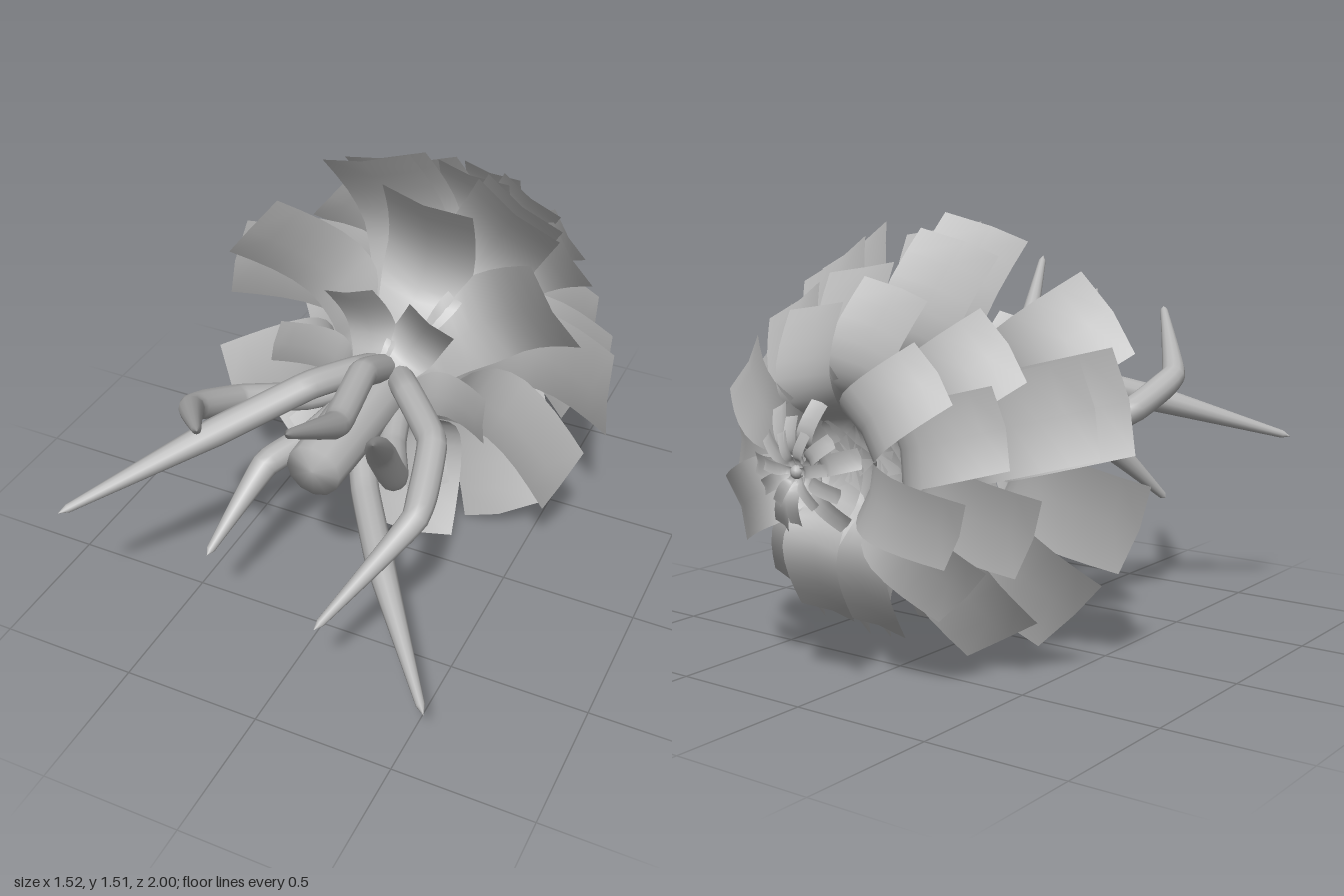
import * as THREE from 'three';

const AXIS_X = 0.007;
const AXIS_Y = 0.745;

// One scale: a lightly creased plate rooted on the axis, bulging back, then bending forward at the tip
function scaleGeometry(length, tipZ, width, bend) {
  const profile = new THREE.CatmullRomCurve3([
    [0.02, 0.1], [0.16, 0.09], [0.27, 0.03], [0.33, -0.09], [0.42, -0.18], [0.57, -0.215], [0.78, -0.14], [1, 0],
  ].map(([r, z]) => new THREE.Vector3(r * length, 0, tipZ + z * length * bend)));
  const geo = new THREE.PlaneGeometry(1, 1, 2, 14);
  const pos = geo.attributes.position;
  for (let i = 0; i < pos.count; i++) {
    const t = pos.getY(i) + 0.5;
    const across = pos.getX(i) * 2;
    const p = profile.getPoint(t);
    const half = width * length * (0.135 + 0.095 * THREE.MathUtils.smoothstep(t, 0.2, 0.65));
    const crease = 0.045 * length * (0.5 - Math.abs(across));
    pos.setXYZ(i, p.x, across * half, p.z + crease);
  }
  geo.computeVertexNormals();
  return geo;
}

// Tapering tube with tight elbows at the given points, closed to a point at the end
function armGeometry(points, radius) {
  const curve = new THREE.CatmullRomCurve3(points.map((p) => new THREE.Vector3(...p)), false, 'catmullrom', 0.16);
  const steps = 36, sides = 12;
  const geo = new THREE.TubeGeometry(curve, steps, radius, sides);
  const pos = geo.attributes.position;
  const v = new THREE.Vector3();
  for (let i = 0; i <= steps; i++) {
    const t = i / steps;
    const centre = curve.getPointAt(t);
    const k = i === steps ? 0 : t < 0.55 ? 1 : 1 - 0.75 * (t - 0.55) / 0.45;
    for (let j = 0; j <= sides; j++) {
      const n = i * (sides + 1) + j;
      v.fromBufferAttribute(pos, n).sub(centre).multiplyScalar(k).add(centre);
      pos.setXYZ(n, v.x, v.y, v.z);
    }
  }
  return geo;
}

export function createModel() {
  const model = new THREE.Group();
  const grey = new THREE.MeshStandardMaterial({ color: 0xb6b6b6, side: THREE.DoubleSide });
  grey.name = 'plain grey';
  const add = (geo, name, parent = model) => {
    const mesh = new THREE.Mesh(geo, grey);
    mesh.name = name;
    parent.add(mesh);
    return mesh;
  };

  // Snout with a softly shaded end, and the small bud at the back
  const snout = new THREE.LatheGeometry(
    [[0.11, 0], [0.097, 0.55], [0, 0.557]].map(([r, z]) => new THREE.Vector2(r, z)), 12);
  snout.rotateX(Math.PI / 2);
  add(snout, 'snout').position.set(AXIS_X, AXIS_Y, 0);
  add(new THREE.SphereGeometry(0.022, 12, 8), 'bud').position.set(AXIS_X, AXIS_Y, -0.975);

  // Rings of scales: length, tip z, turn in degrees, relative width, bend, angles
  const spread = [0, 60, 105, 165, 225, 300];
  const shifted = [0, 60, 105, 165, 240, 300];
  const rings = [
    [0.41, 0.07, 0, 1, 1, spread],
    [0.72, -0.08, -24, 1, 1, spread],
    [0.752, -0.25, 0, 1, 1, spread],
    [0.705, -0.38, 0, 1, 1, shifted],
    [0.605, -0.54, -24, 1, 1, spread],
    [0.565, -0.66, 0, 1, 1, spread],
    [0.495, -0.78, -24, 1, 1, spread],
    [0.22, -0.925, 0, 0.65, 0.9, spread],
    [0.17, -0.96, -24, 0.65, 0.7, spread],
    [0.13, -0.982, 6, 0.65, 0.45, spread],
  ];
  rings.forEach(([length, tipZ, turn, width, bend, angles], i) => {
    const ring = new THREE.Group();
    ring.name = `scaleRing${i + 1}`;
    ring.position.set(AXIS_X, AXIS_Y, 0);
    const geo = scaleGeometry(length, tipZ, width, bend);
    for (const angle of angles) {
      add(geo, 'scale', ring).rotation.z = THREE.MathUtils.degToRad(angle + turn);
    }
    model.add(ring);
  });

  // Arms reaching forward around the snout
  const arms = {
    upperLeftArm: [[0.07, 0.7, 0], [0.14, 0.67, 0.22], [0.23, 0.69, 0.4], [0.28, 0.97, 0.62], [0.44, 1.31, 1]],
    topArm: [[0.02, 0.82, 0], [0.04, 0.95, 0.24], [0.1, 0.975, 0.56], [0.12, 1.19, 0.92]],
    middleLeftArm: [[0.06, 0.8, 0], [0.16, 0.85, 0.14], [0.345, 0.84, 0.35], [0.405, 0.74, 0.62], [0.2, 0.45, 0.94]],
    lowerLeftArm: [[-0.02, 0.68, 0], [-0.01, 0.6, 0.15], [0.09, 0.53, 0.33], [0.29, 0.48, 0.62], [0.61, 0.31, 1]],
    lowerRightArm: [[-0.06, 0.71, 0], [-0.13, 0.67, 0.28], [-0.22, 0.64, 0.47], [-0.31, 0.41, 0.74]],
    middleRightArm: [[-0.04, 0.75, 0], [-0.2, 0.74, 0.17], [-0.37, 0.8, 0.36], [-0.41, 0.91, 0.6], [-0.165, 1.13, 0.95]],
    upperRightArm: [[-0.01, 0.82, 0], [-0.03, 0.89, 0.16], [-0.12, 0.91, 0.33], [-0.36, 0.81, 0.61], [-0.7, 0.655, 1]],
  };
  for (const [name, points] of Object.entries(arms)) add(armGeometry(points, 0.05), name);

  return model;
}
